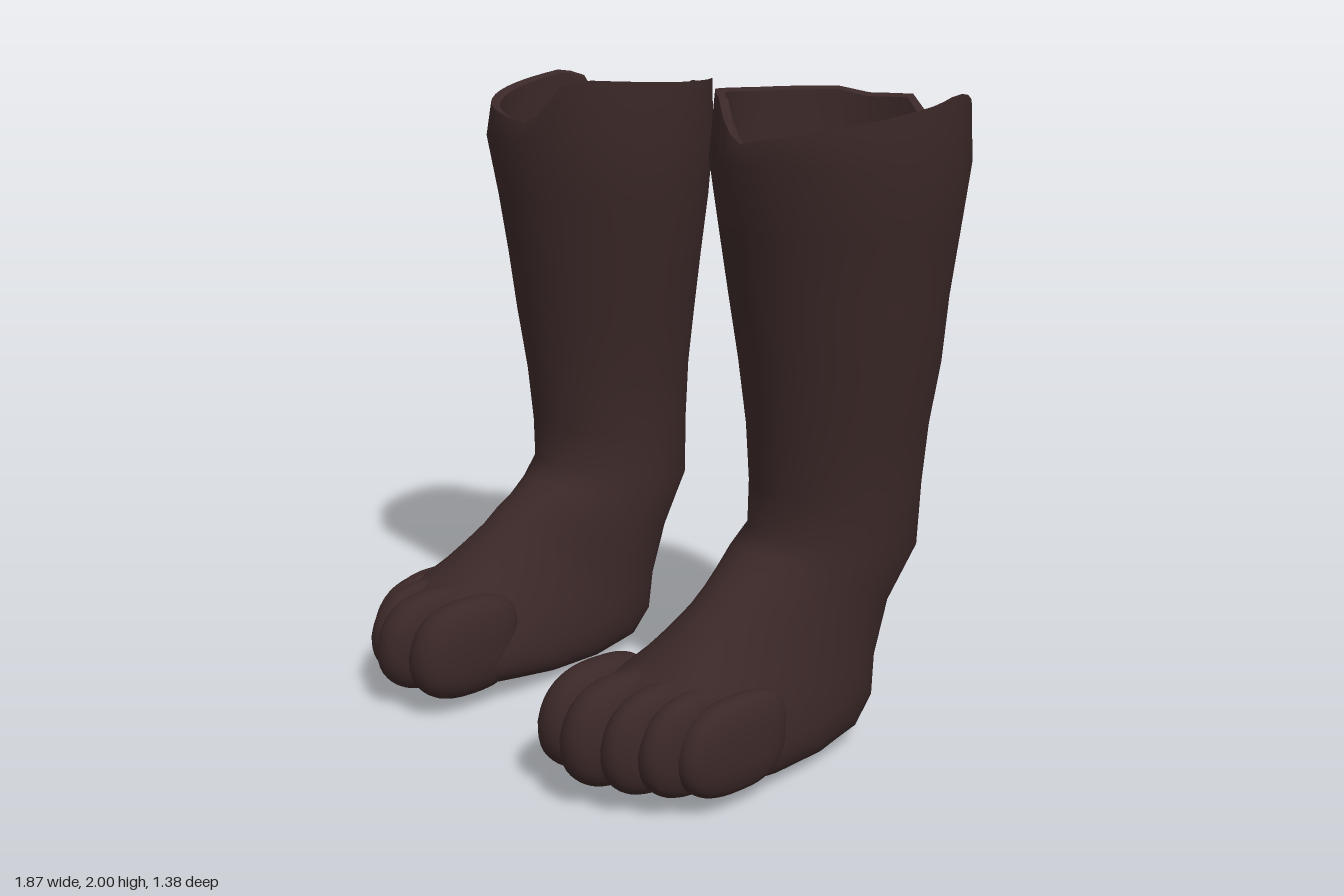
import * as THREE from 'three';
import { mergeVertices } from 'three/addons/utils/BufferGeometryUtils.js';

const SEG = 48;
const leather = new THREE.MeshStandardMaterial({ color: 0x3a2727 });
leather.name = 'dark brown leather';

// Torn rim: [angle in degrees from the outer side towards the front, height]
const RIM = [[0, 1.98], [45, 1.92], [80, 1.88], [98, 1.86], [110, 1.9], [118, 1.98], [135, 2],
  [180, 1.99], [225, 1.99], [240, 1.97], [264, 1.97], [276, 1.87], [300, 1.84], [318, 1.85],
  [331, 1.99], [345, 2], [360, 1.98]];

function rimHeight(deg) {
  const i = Math.max(1, RIM.findIndex(p => p[0] >= deg));
  const [a, ha] = RIM[i - 1], [b, hb] = RIM[i];
  return ha + (hb - ha) * (deg - a) / (b - a);
}

const signedPow = (v, e) => Math.sign(v) * Math.abs(v) ** e;

// Section between a front/top point and a back/bottom point; skew drops its widest line
function ring([fz, fy, bz, by, xc, w, skew = 0]) {
  return Array.from({ length: SEG }, (_, j) => {
    const t = j / SEG * Math.PI * 2, s = Math.sin(t), c = Math.cos(t);
    const m = s - skew * (1 - s * s);
    const x = xc + w * signedPow(c, s < 0 ? 1 - skew * 0.5 : 1 - skew * 0.2);
    return [x, (fy + by) / 2 + m * (fy - by) / 2, (fz + bz) / 2 + m * (fz - bz) / 2];
  });
}

// Horizontal ring that follows the torn rim
function rimRing(rx, rz, drop) {
  return ring([-0.31 + rz, 0, -0.31 - rz, 0, 0.55, rx])
    .map(([x, , z], j) => [x, rimHeight(j / SEG * 360) - drop, z]);
}

const point = p => Array.from({ length: SEG }, () => p);

function loft(rings) {
  const pos = rings.flat(2), idx = [];
  for (let i = 0; i < rings.length - 1; i++) {
    for (let j = 0; j < SEG; j++) {
      const a = i * SEG + j, b = i * SEG + (j + 1) % SEG;
      idx.push(a, b, a + SEG, b, b + SEG, a + SEG);
    }
  }
  const g = new THREE.BufferGeometry();
  g.setAttribute('position', new THREE.Float32BufferAttribute(pos, 3));
  g.setIndex(idx);
  return g;
}

// Blunt rounded toe: [centre x, half width, tip z, top y]
function toe([x, w, tip, top]) {
  const g = new THREE.SphereGeometry(1, 24, 18);
  const p = g.attributes.position, len = 0.2, low = 0.045;
  for (let i = 0; i < p.count; i++) {
    const px = signedPow(p.getX(i), 0.85), py = signedPow(p.getY(i), 0.8), pz = signedPow(p.getZ(i), 0.75);
    p.setXYZ(i, x + px * w * (1 - 0.12 * py), (top + low) / 2 + py * (top - low) / 2,
      tip - len + pz * len - (py > 0 ? 0.03 * py : 0));
  }
  g.deleteAttribute('uv');
  g.deleteAttribute('normal');
  return mergeVertices(g);
}

// Shaft sections run down from the rim, then fan round the ankle into the foot
const SHELL = [
  [0.085, 1.8, -0.69, 1.8, 0.55, 0.383],
  [0.05, 1.6, -0.675, 1.6, 0.545, 0.355],
  [0.02, 1.4, -0.655, 1.4, 0.545, 0.325],
  [-0.01, 1.2, -0.64, 1.2, 0.55, 0.3],
  [-0.035, 1, -0.625, 1, 0.545, 0.265],
  [-0.05, 0.82, -0.615, 0.8, 0.54, 0.25],
  [-0.05, 0.69, -0.61, 0.59, 0.535, 0.247],
  [0.01, 0.645, -0.5, 0.4, 0.52, 0.237],
  [0.08, 0.6, -0.43, 0.22, 0.52, 0.235, 0.1],
  [0.14, 0.565, -0.415, 0.09, 0.525, 0.235, 0.15],
  [0.2, 0.52, -0.32, 0.02, 0.525, 0.24, 0.25],
  [0.26, 0.48, -0.12, 0, 0.525, 0.25, 0.35],
  [0.33, 0.43, 0.1, 0.01, 0.525, 0.265, 0.4],
  [0.39, 0.39, 0.28, 0.035, 0.525, 0.28, 0.4],
  [0.44, 0.36, 0.42, 0.045, 0.515, 0.265, 0.35],
  [0.54, 0.32, 0.54, 0.06, 0.47, 0.18, 0.2],
];

const LINING = [
  [-0.08, 0.15, -0.4, 0.15, 0.535, 0.165],
  [-0.07, 0.4, -0.46, 0.4, 0.525, 0.2],
  [-0.09, 0.7, -0.57, 0.7, 0.54, 0.21],
  [-0.07, 1, -0.585, 1, 0.545, 0.225],
  [-0.04, 1.3, -0.61, 1.3, 0.548, 0.275],
  [0.03, 1.75, -0.645, 1.75, 0.55, 0.335],
];

const TOES = [
  [0.335, 0.088, 0.665, 0.365],
  [0.475, 0.088, 0.695, 0.37],
  [0.59, 0.075, 0.645, 0.36],
  [0.675, 0.07, 0.58, 0.35],
  [0.745, 0.07, 0.5, 0.33],
];

function createBoot(side, name) {
  const boot = new THREE.Group();
  boot.name = name;
  const add = (g, part) => {
    if (side < 0) { // mirror and keep the faces outward
      g.scale(-1, 1, 1);
      const a = g.index.array;
      for (let i = 0; i < a.length; i += 3) [a[i + 1], a[i + 2]] = [a[i + 2], a[i + 1]];
    }
    g.computeVertexNormals();
    const mesh = new THREE.Mesh(g, leather);
    mesh.name = part;
    boot.add(mesh);
  };
  const outer = rimRing(0.373, 0.375, 0), inner = rimRing(0.343, 0.345, 0.01);
  const shell = SHELL.map(ring);
  add(loft([outer, ...shell, point([0.46, 0.18, 0.6])]), 'shaftAndFoot');
  add(loft([inner, outer]), 'tornRim');
  const lining = LINING.map(ring);
  add(loft([...lining, inner]), 'lining');
  add(loft([point([0.535, 0.15, -0.24]), lining[0]]), 'insole');
  TOES.forEach((t, i) => add(toe(t), 'toe' + (i + 1)));
  return boot;
}

export function createModel() {
  const model = new THREE.Group();
  model.name = 'pairOfToedBoots';
  model.add(createBoot(1, 'leftBoot'), createBoot(-1, 'rightBoot'));
  return model;
}
